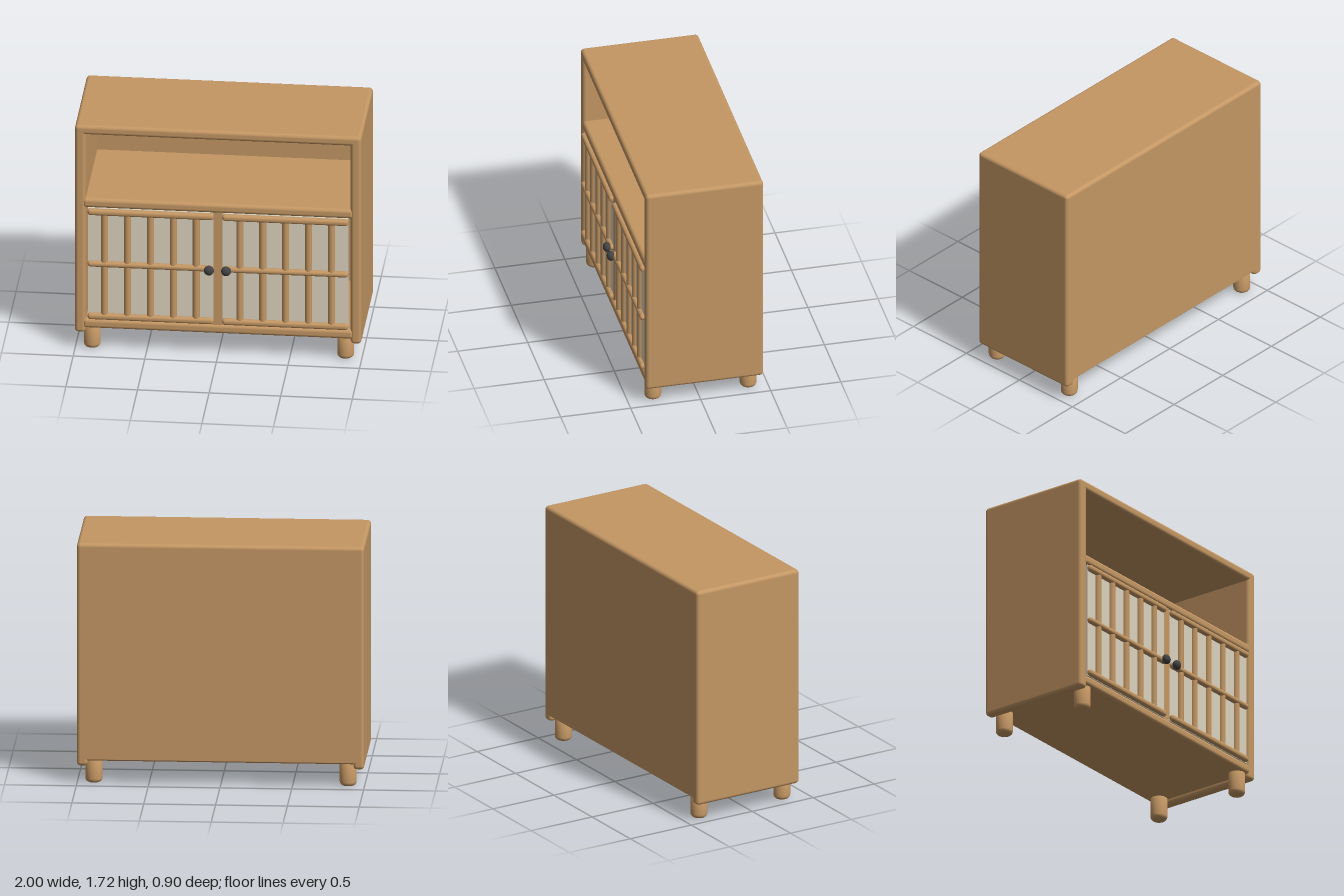
import * as THREE from 'three';
import { RoundedBoxGeometry } from 'three/addons/geometries/RoundedBoxGeometry.js';

const wood = new THREE.MeshStandardMaterial({ color: 0xc49764 });
const linen = new THREE.MeshStandardMaterial({ color: 0xddd3be });
const dark = new THREE.MeshStandardMaterial({ color: 0x444444 });

function add(parent, name, geometry, material, x = 0, y = 0, z = 0) {
  const mesh = new THREE.Mesh(geometry, material);
  mesh.name = name;
  mesh.position.set(x, y, z);
  parent.add(mesh);
  return mesh;
}

// Board with softened edges, given by its extents on each axis
function board(parent, name, [x0, x1], [y0, y1], [z0, z1], radius) {
  const geometry = new RoundedBoxGeometry(x1 - x0, y1 - y0, z1 - z0, 4, radius);
  return add(parent, name, geometry, wood, (x0 + x1) / 2, (y0 + y1) / 2, (z0 + z1) / 2);
}

// Round leg with a softened foot
function legGeometry(radius, height, round) {
  const points = [new THREE.Vector2(0, 0)];
  for (let i = 0; i <= 6; i++) {
    const a = (i / 6) * Math.PI / 2;
    points.push(new THREE.Vector2(radius - round + round * Math.sin(a), round - round * Math.cos(a)));
  }
  points.push(new THREE.Vector2(radius, height), new THREE.Vector2(0, height));
  return new THREE.LatheGeometry(points, 32);
}

// One door: linen panel behind a lattice of rails and slats, with a knob
function door(side) {
  const group = new THREE.Group();
  group.name = side > 0 ? 'leftDoor' : 'rightDoor';
  add(group, 'doorPanel', new THREE.BoxGeometry(0.88, 0.85, 0.02), linen, side * 0.47, 0.663, 0.37);
  for (const [y, h] of [[0.263, 0.046], [0.665, 0.042], [1.063, 0.046]]) {
    add(group, 'rail', new RoundedBoxGeometry(0.88, h, 0.046, 4, 0.02), wood, side * 0.47, y, 0.387);
  }
  for (let i = 0; i < 5; i++) {
    add(group, 'slat', new THREE.CylinderGeometry(0.025, 0.025, 0.8, 20), wood,
      side * (0.152 + i * 0.16), 0.663, 0.38);
  }
  const knob = add(group, 'knob', new THREE.SphereGeometry(0.035, 24, 16), dark, side * 0.06, 0.665, 0.421);
  knob.scale.z = 0.8;
  return group;
}

export function createModel() {
  const model = new THREE.Group();
  model.name = 'cabinet';
  const depth = [-0.45, 0.39];

  // Carcass
  board(model, 'top', [-1, 1], [1.65, 1.72], depth, 0.025);
  board(model, 'leftSide', [0.925, 1], [0.13, 1.72], depth, 0.025);
  board(model, 'rightSide', [-1, -0.925], [0.13, 1.72], depth, 0.025);
  board(model, 'shelf', [-0.945, 0.945], [1.09, 1.16], [-0.44, 0.39], 0.025);
  board(model, 'bottom', [-0.945, 0.945], [0.165, 0.235], depth, 0.025);
  board(model, 'back', [-0.975, 0.975], [0.175, 1.695], [-0.45, -0.42], 0.004);
  board(model, 'divider', [-0.035, 0.035], [0.22, 1.1], [-0.43, 0.38], 0.004);

  // Doors
  model.add(door(1), door(-1));

  // Legs
  const leg = legGeometry(0.059, 0.18, 0.03);
  for (const x of [-0.885, 0.885]) {
    for (const z of [-0.365, 0.315]) add(model, 'leg', leg, wood, x, 0, z);
  }
  return model;
}
